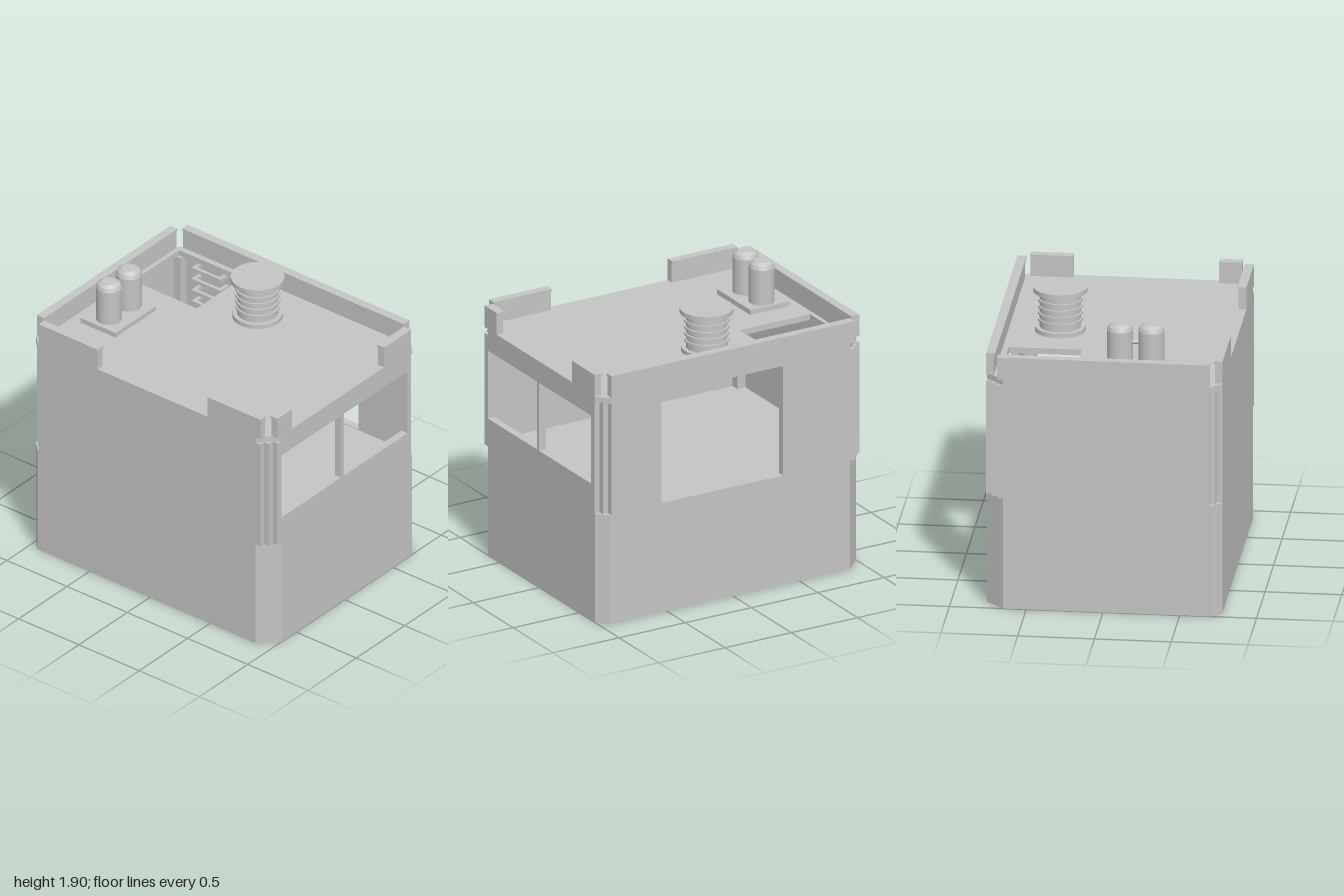
import * as THREE from 'three';

const HX = 0.77, HZ = 1;            // half width and half depth
const BASE = 0.76, CEIL = 1.54, ROOF = 1.58, TOP = 1.73;
const WALL = 0.05;
const NARROW = 0.07, WIDE = 0.12;   // corner chamfers

export function createModel() {
  const grey = new THREE.MeshStandardMaterial({ color: 0xc4c4c4 });
  grey.name = 'plain grey';
  const model = new THREE.Group();
  model.name = 'cabin';

  const add = (name, geometry, parent = model) => {
    const mesh = new THREE.Mesh(geometry, grey);
    mesh.name = name;
    parent.add(mesh);
    return mesh;
  };
  // box given by its limits on each axis
  const box = (name, x0, x1, y0, y1, z0, z1, parent) => {
    const g = new THREE.BoxGeometry(x1 - x0, y1 - y0, z1 - z0);
    g.translate((x0 + x1) / 2, (y0 + y1) / 2, (z0 + z1) / 2);
    return add(name, g, parent);
  };
  const rect = (Type, x0, x1, y0, y1) => new Type([
    [x0, y0], [x1, y0], [x1, y1], [x0, y1],
  ].map(([x, y]) => new THREE.Vector2(x, y)));
  const extrude = (shape, depth) =>
    new THREE.ExtrudeGeometry(shape, { depth, bevelEnabled: false });

  // slab with the chamfered floor plan
  const slab = (name, y0, y1, holes = []) => {
    const shape = new THREE.Shape([
      [HX - NARROW, -HZ], [HX, -HZ + NARROW],
      [HX, HZ - WIDE], [HX - WIDE, HZ],
      [-HX + NARROW, HZ], [-HX, HZ - NARROW],
      [-HX, -HZ + WIDE], [-HX + WIDE, -HZ],
    ].map(([x, y]) => new THREE.Vector2(x, y)));
    shape.holes.push(...holes);
    const g = extrude(shape, y1 - y0);
    g.rotateX(-Math.PI / 2);
    g.translate(0, y0, 0);
    return add(name, g);
  };

  // solid lower body and roof with an open hatch
  slab('lowerBody', 0, BASE);
  slab('roof', CEIL, ROOF, [rect(THREE.Path, 0.205, 0.68, 0.39, 0.92)]);

  // upper walls, stopping short of the corners
  const EX = 0.69, EZ = 0.92;
  const front = rect(THREE.Shape, -EX, EX, BASE, CEIL);
  front.holes.push(
    rect(THREE.Path, -0.65, -0.035, 0.955, 1.43),
    rect(THREE.Path, -0.005, 0.65, 0.955, 1.43));
  add('frontWall', extrude(front, WALL)).position.z = HZ - WALL;

  const side = rect(THREE.Shape, -EZ, EZ, BASE, CEIL);
  side.holes.push(rect(THREE.Path, -0.54, 0.375, 0.765, 1.53));
  const leftWall = add('leftWall', extrude(side, WALL));
  leftWall.rotation.y = Math.PI / 2;
  leftWall.position.x = HX - WALL;

  box('backWall', -EX, EX, BASE, CEIL, -HZ, -HZ + WALL);
  box('rightWall', -HX, -HX + WALL, BASE, CEIL, -EZ, EZ);

  // recessed corner posts
  for (const sx of [-1, 1]) for (const sz of [-1, 1]) {
    const g = new THREE.BoxGeometry(0.07, CEIL - BASE, 0.07);
    g.translate(sx * 0.695, (CEIL + BASE) / 2, sz * 0.925);
    add('cornerPost', g);
  }

  // parapet pieces, each with a slightly wider lip on the inside
  const LIP = 0.06, LIP_Y = 1.715;
  for (const [z, a, b] of [[1, -EX, -0.54], [1, 0.41, EX], [-1, -EX, EX]]) {
    const span = (t) => (z > 0 ? [HZ - t, HZ] : [-HZ, -HZ + t]);
    box('parapet', a, b, ROOF, LIP_Y, ...span(WALL));
    box('parapetLip', a, b, LIP_Y, TOP, ...span(LIP));
  }
  for (const [x, a, b] of [[1, -EZ, EZ], [-1, -EZ, -0.43], [-1, 0.48, EZ]]) {
    const span = (t) => (x > 0 ? [HX - t, HX] : [-HX, -HX + t]);
    box('parapet', ...span(WALL), ROOF, LIP_Y, a, b);
    box('parapetLip', ...span(LIP), LIP_Y, TOP, a, b);
  }

  // ladder rungs on the inside of the left wall, under the hatch
  const ladder = new THREE.Group();
  ladder.name = 'ladder';
  model.add(ladder);
  for (let y = 0.82; y < 1.5; y += 0.085) {
    box('rung', 0.635, 0.66, y, y + 0.025, -0.78, -0.54, ladder);
    for (const z of [-0.78, -0.565])
      box('rungBracket', 0.66, 0.725, y, y + 0.025, z, z + 0.025, ladder);
  }

  // revolve a profile with sharp edges: each step gets its own band
  const revolve = (name, profile, segments, parent) => {
    for (let i = 0; i < profile.length - 1; i++) {
      const pair = [profile[i], profile[i + 1]].map(([r, y]) => new THREE.Vector2(r, y));
      add(name, new THREE.LatheGeometry(pair, segments), parent);
    }
  };

  // ribbed roof vent with a flat cap
  const vent = new THREE.Group();
  vent.name = 'vent';
  vent.position.set(0.385, ROOF, -0.03);
  model.add(vent);
  const ventProfile = [[0.165, 0], [0.165, 0.03], [0.135, 0.03]];
  for (const y of [0.075, 0.12, 0.165, 0.21])
    ventProfile.push([0.135, y], [0.147, y], [0.147, y + 0.014], [0.135, y + 0.014]);
  ventProfile.push([0.135, 0.27], [0.175, 0.27], [0.175, 0.3], [0, 0.3]);
  revolve('ventBand', ventProfile, 32, vent);

  // twin tanks on a plate, joined by a short pipe
  box('tankPlate', -0.4, 0.02, ROOF, 1.615, -0.87, -0.58);
  for (const x of [-0.285, -0.08]) {
    const tank = new THREE.Group();
    tank.name = 'tank';
    tank.position.set(x, 1.615, -0.725);
    model.add(tank);
    revolve('tankBand', [[0.085, 0], [0.085, 0.243], [0.075, 0.268],
      [0.05, 0.285], [0, 0.285]], 20, tank);
  }
  const pipe = new THREE.CylinderGeometry(0.015, 0.015, 0.1, 12);
  pipe.rotateZ(Math.PI / 2);
  pipe.translate(-0.1825, 1.775, -0.725);
  add('tankPipe', pipe);

  return model;
}
